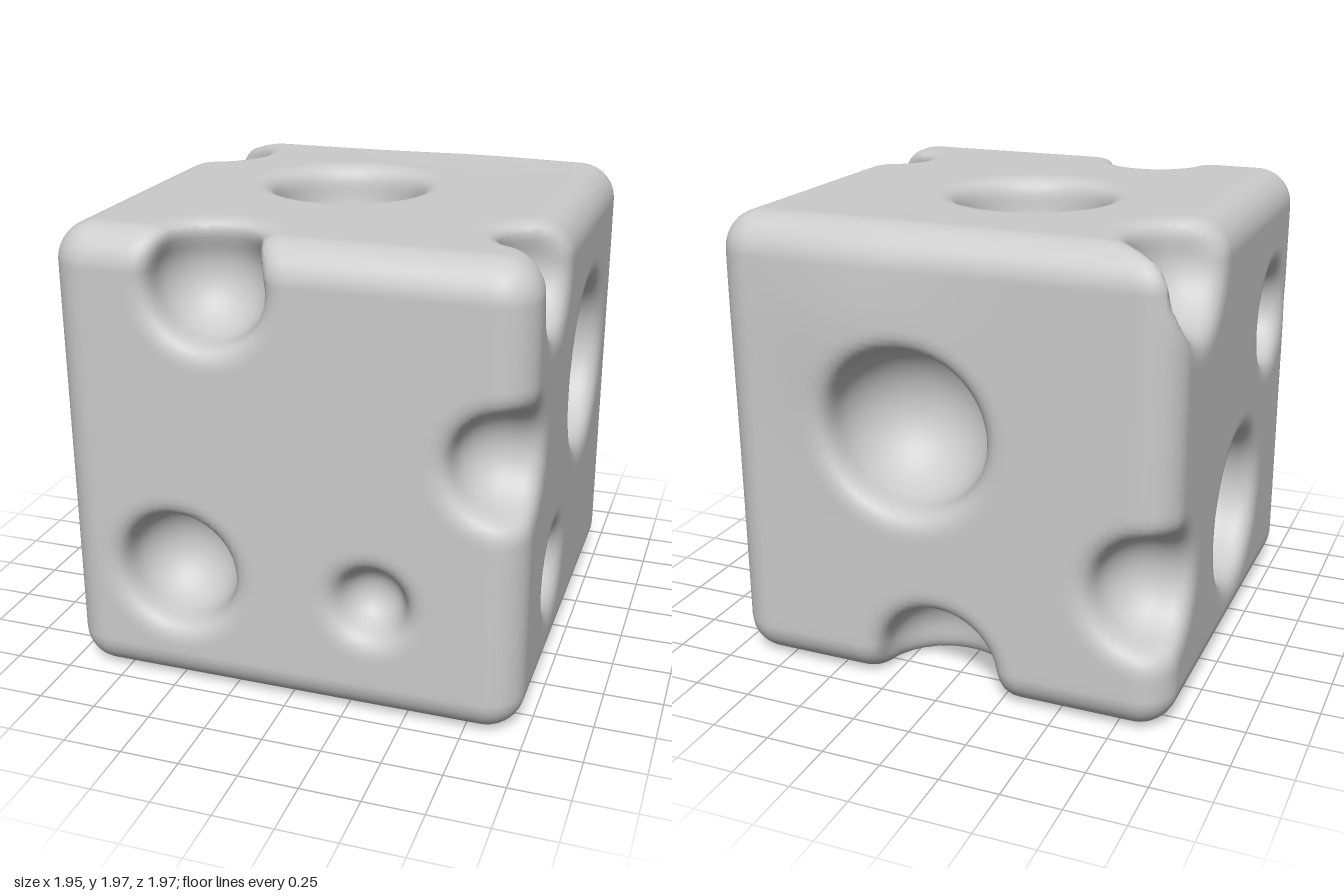
import * as THREE from 'three';

// Holes as spheres: centre x, y, z and radius
const HOLES = [
  // front face
  [-0.475, 0.545, 0.90, 0.24], [0.36, 0.53, 0.94, 0.135],
  // right-hand face (+x)
  [0.87, 1.20, -0.28, 0.355], [0.95, 0.48, 0.33, 0.15],
  // top
  [-0.075, 1.88, -0.10, 0.315],
  // back
  [0.15, 1.15, -0.86, 0.34],
  // -x face
  [-0.90, 1.36, 0.57, 0.20], [-0.87, 0.60, 0.09, 0.33],
  // underside
  [0.58, 0.06, -0.23, 0.18], [0.29, 0.05, 0.58, 0.13], [-0.33, 0.11, 0.15, 0.31],
  // holes breaking through the edges
  [-0.31, 1.78, 0.88, 0.235], [0.88, 1.18, 0.90, 0.21], [0.90, 1.81, 0.51, 0.195],
  [-0.92, 1.85, -0.61, 0.245], [0.03, 0.12, -0.86, 0.255], [-0.88, 0.61, -0.88, 0.235],
];
const CENTRE = [0, 0.997, 0.015], HALF = [0.975, 0.983, 0.967], ROUND = 0.16, BLEND = 0.12;

// Signed distance: rounded block with softly blended spherical cavities
function distance(x, y, z) {
  const qx = Math.abs(x - CENTRE[0]) - HALF[0] + ROUND;
  const qy = Math.abs(y - CENTRE[1]) - HALF[1] + ROUND;
  const qz = Math.abs(z - CENTRE[2]) - HALF[2] + ROUND;
  let d = Math.hypot(Math.max(qx, 0), Math.max(qy, 0), Math.max(qz, 0))
    + Math.min(Math.max(qx, qy, qz), 0) - ROUND;
  // slight swelling high on the back
  d -= 0.035 * Math.exp(-((x - 0.35) ** 2 + (y - 1.6) ** 2) / 0.15 - (z + 1) ** 2 / 0.05);
  for (const [cx, cy, cz, r] of HOLES) {
    const s = r - Math.hypot(x - cx, y - cy, z - cz);
    const h = Math.max(BLEND - Math.abs(d - s), 0) / BLEND;
    d = Math.max(d, s) + h * h * BLEND / 4;
  }
  return d;
}

function gradient(x, y, z) {
  const e = 0.002;
  return new THREE.Vector3(
    distance(x + e, y, z) - distance(x - e, y, z),
    distance(x, y + e, z) - distance(x, y - e, z),
    distance(x, y, z + e) - distance(x, y, z - e)
  ).divideScalar(2 * e);
}

// Quad mesh over the zero surface of the distance field
function carvedGeometry(n) {
  const step = 2.2 / n, m = n + 1, stride = [1, m, m * m];
  const origin = [-1.1, -0.105, -1.1];
  const field = new Float32Array(m ** 3);
  const at = (i, j, k) => i + j * m + k * m * m;
  for (let k = 0; k < m; k++) for (let j = 0; j < m; j++) for (let i = 0; i < m; i++)
    field[at(i, j, k)] = distance(origin[0] + i * step, origin[1] + j * step, origin[2] + k * step);

  // one vertex per crossed cell, pulled onto the surface
  const cellVertex = new Int32Array(m ** 3).fill(-1);
  const positions = [], normals = [], indices = [];
  for (let k = 0; k < n; k++) for (let j = 0; j < n; j++) for (let i = 0; i < n; i++) {
    const sum = [0, 0, 0];
    let count = 0;
    for (let a = 0; a < 3; a++) {
      const b = (a + 1) % 3, c = (a + 2) % 3;
      for (let q = 0; q < 4; q++) {
        const p = [i, j, k];
        p[b] += q & 1;
        p[c] += q >> 1;
        const start = at(...p), f0 = field[start], f1 = field[start + stride[a]];
        if ((f0 < 0) === (f1 < 0)) continue;
        p[a] += f0 / (f0 - f1);
        for (let t = 0; t < 3; t++) sum[t] += p[t];
        count++;
      }
    }
    if (!count) continue;
    const v = new THREE.Vector3(...sum.map((s, t) => origin[t] + (s / count) * step));
    for (let pass = 0; pass < 2; pass++) {
      const g = gradient(v.x, v.y, v.z);
      const move = -distance(v.x, v.y, v.z) / Math.max(g.lengthSq(), 0.3);
      v.addScaledVector(g, THREE.MathUtils.clamp(move, -step / 2, step / 2));
    }
    cellVertex[at(i, j, k)] = positions.length / 3;
    positions.push(v.x, v.y, v.z);
    normals.push(...gradient(v.x, v.y, v.z).normalize().toArray());
  }

  // one quad around every crossed grid edge
  for (let k = 1; k < n; k++) for (let j = 1; j < n; j++) for (let i = 1; i < n; i++) {
    const s = at(i, j, k);
    for (let a = 0; a < 3; a++) {
      const inside = field[s] < 0;
      if (inside === (field[s + stride[a]] < 0)) continue;
      const b = stride[(a + 1) % 3], c = stride[(a + 2) % 3];
      const [p, q, r, t] = [s - b - c, s - c, s, s - b].map((cell) => cellVertex[cell]);
      if (inside) indices.push(p, q, r, p, r, t);
      else indices.push(p, r, q, p, t, r);
    }
  }
  const geometry = new THREE.BufferGeometry();
  geometry.setAttribute('position', new THREE.Float32BufferAttribute(positions, 3));
  geometry.setAttribute('normal', new THREE.Float32BufferAttribute(normals, 3));
  geometry.setIndex(indices);
  return geometry;
}

export function createModel() {
  const group = new THREE.Group();
  group.name = 'cheeseCube';
  const block = new THREE.Mesh(
    carvedGeometry(76),
    new THREE.MeshStandardMaterial({ color: 0xcccccc })
  );
  block.name = 'cheeseBlock';
  group.add(block);
  return group;
}
